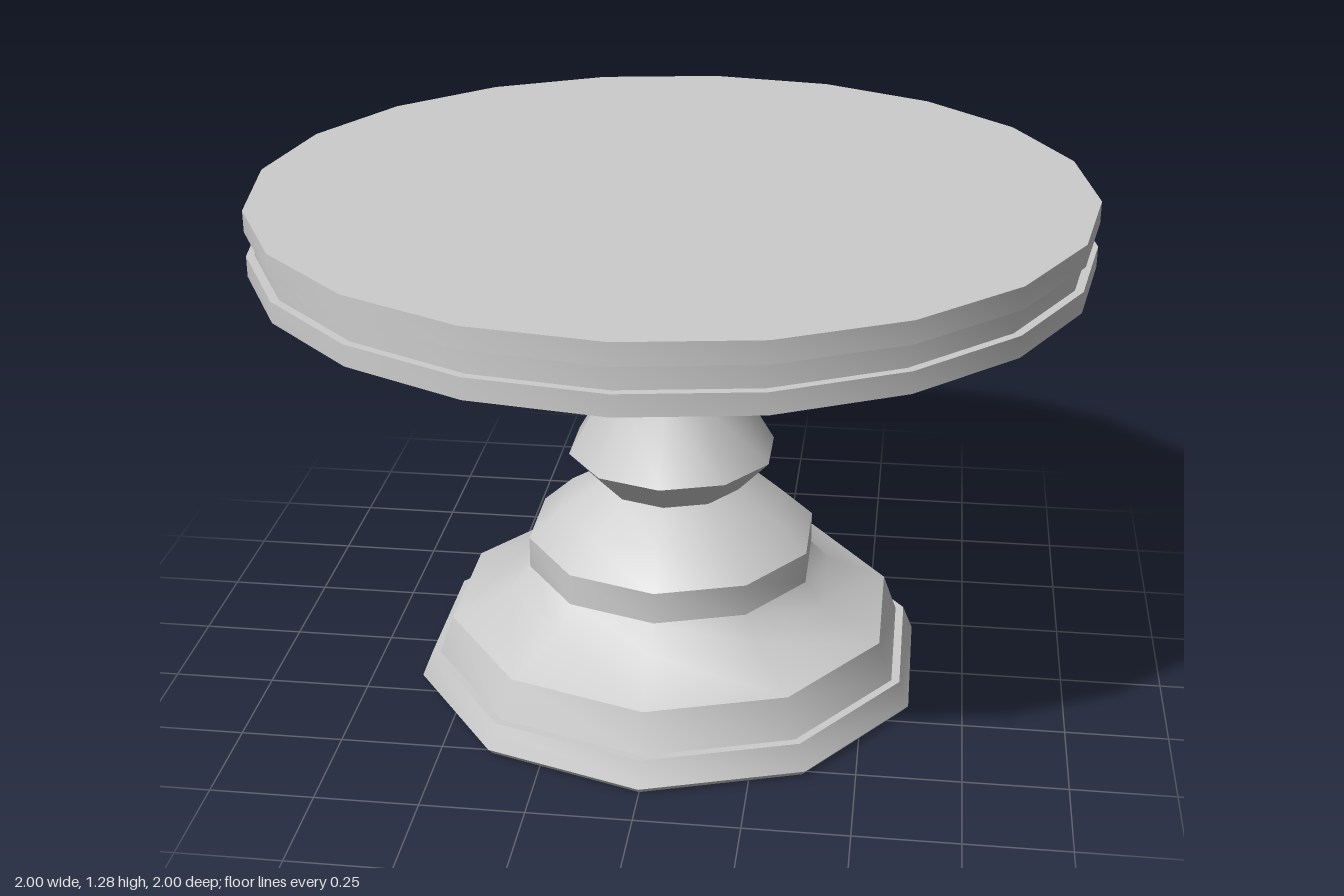
import * as THREE from 'three';
import { toCreasedNormals } from 'three/addons/utils/BufferGeometryUtils.js';

export function createModel() {
  const group = new THREE.Group();
  const grey = new THREE.MeshStandardMaterial({ color: 0xcccccc });
  grey.name = 'plainGrey';

  // Revolve a [radius, height] profile, listed from bottom to top
  function turned(name, profile, sides, crease) {
    const points = profile.map(([r, y]) => new THREE.Vector2(r, y));
    const geometry = toCreasedNormals(new THREE.LatheGeometry(points, sides), crease);
    const mesh = new THREE.Mesh(geometry, grey);
    mesh.name = name;
    group.add(mesh);
  }

  // Ten-sided plinth with a slightly tapered rim
  turned('plinth', [
    [0, 0], [0.635, 0], [0.648, 0.015], [0.622, 0.078], [0.595, 0.078],
  ], 10, 0.7);

  // Stepped bell-shaped foot
  turned('foot', [
    [0.602, 0.075], [0.565, 0.175], [0.415, 0.245], [0.365, 0.3],
    [0.365, 0.38], [0.283, 0.455], [0.18, 0.518],
  ], 10, 0.7);

  // Vase-shaped stem with its flared collar
  turned('stem', [
    [0.18, 0.518], [0.26, 0.603], [0.162, 0.77], [0.13, 0.875],
    [0.195, 0.995], [0.12, 1.02], [0.08, 1.025],
  ], 10, 0.7);

  // Small neck under the plate
  turned('neck', [
    [0.082, 1.022], [0.113, 1.095], [0.105, 1.115], [0.08, 1.122],
  ], 10, 0.7);

  // Twenty-sided plate with a grooved edge
  turned('plate', [
    [0, 1.12], [1, 1.12], [1, 1.17], [0.98, 1.17],
    [0.98, 1.228], [1, 1.228], [1, 1.28], [0, 1.28],
  ], 20, 0.7);

  return group;
}
